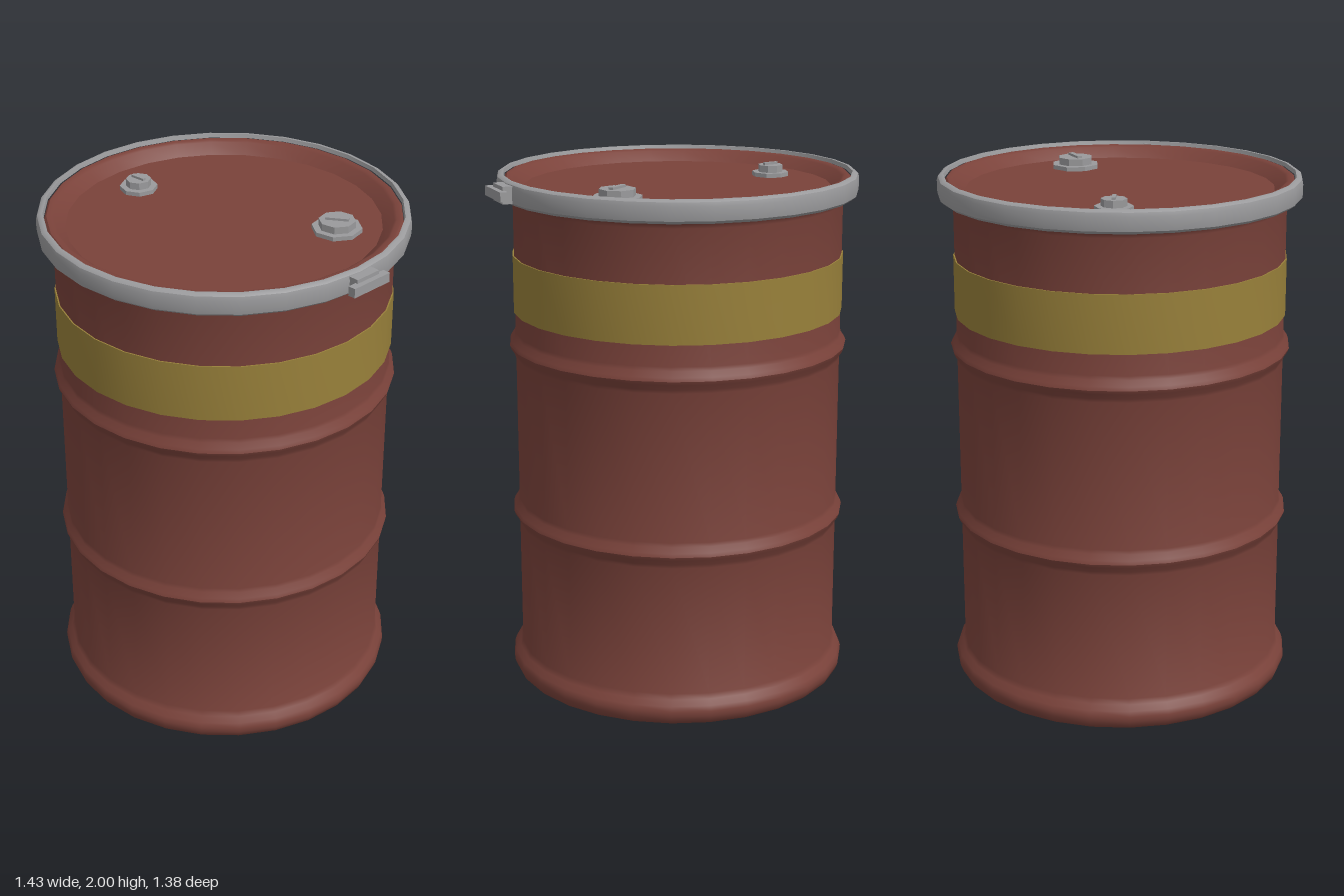
import * as THREE from 'three';
import { toCreasedNormals } from 'three/addons/utils/BufferGeometryUtils.js';

const SIDES = 28;

export function createModel() {
  const drum = new THREE.Group();
  drum.name = 'drum';
  const rust = new THREE.MeshStandardMaterial({ color: 0x7a423a });
  rust.name = 'rust red paint';
  const yellow = new THREE.MeshStandardMaterial({ color: 0x98803a });
  yellow.name = 'yellow paint';
  const steel = new THREE.MeshStandardMaterial({ color: 0x9a9a9c });
  steel.name = 'grey steel';

  function add(parent, name, geometry, material, x = 0, y = 0, z = 0) {
    const mesh = new THREE.Mesh(geometry, material);
    mesh.name = name;
    mesh.position.set(x, y, z);
    parent.add(mesh);
    return mesh;
  }
  // Turned part from [radius, height] pairs, smooth apart from sharp edges
  function turned(profile) {
    const points = profile.map(([r, y]) => new THREE.Vector2(r, y));
    return toCreasedNormals(new THREE.LatheGeometry(points, SIDES), 0.65);
  }
  // Rounded rolling hoop in the wall
  function hoop(y) {
    return [[0.632, y - 0.05], [0.636, y - 0.035], [0.65, y - 0.014], [0.655, y],
      [0.65, y + 0.014], [0.636, y + 0.035], [0.632, y + 0.05]];
  }

  // Wall with recessed bottom, bottom chime and two hoops
  add(drum, 'body', turned([
    [0, 0.05], [0.585, 0.05], [0.62, 0.004], [0.63, 0], [0.645, 0], [0.656, 0.01],
    [0.666, 0.035], [0.667, 0.055], [0.66, 0.075], [0.642, 0.095], [0.632, 0.115],
    ...hoop(0.67), ...hoop(1.34),
    [0.632, 1.89], [0.636, 1.905], [0.65, 1.92], [0.65, 1.95],
  ]), rust);

  // Lid with raised lip and sunken floor
  add(drum, 'lid', turned([
    [0.66, 1.94], [0.66, 1.98], [0.652, 1.988], [0.635, 1.988], [0.625, 1.982],
    [0.585, 1.945], [0, 1.945],
  ]), rust);

  // Painted stripe
  add(drum, 'stripe', turned([
    [0.631, 1.47], [0.637, 1.47], [0.637, 1.69], [0.631, 1.69],
  ]), yellow);

  // Clamping ring around the lid
  add(drum, 'clampRing', turned([
    [0.65, 1.93], [0.652, 1.914], [0.675, 1.914], [0.688, 1.925], [0.69, 1.94],
    [0.69, 1.977], [0.686, 1.992], [0.675, 2], [0.665, 2], [0.661, 1.985],
  ]), steel);

  // Clasp on the left side of the ring
  const clasp = new THREE.Group();
  clasp.name = 'clasp';
  drum.add(clasp);
  add(clasp, 'claspBlock', new THREE.BoxGeometry(0.06, 0.065, 0.108), steel, 0.69, 1.957, 0);
  add(clasp, 'claspLever', new THREE.BoxGeometry(0.03, 0.036, 0.176), steel, 0.725, 1.957, 0);

  // Octagonal plugs, turned to face the lid centre
  function plug(name, x, z, radius, headRadius, height) {
    const group = new THREE.Group();
    group.name = name;
    group.position.set(x, 1.945, z);
    group.rotation.y = Math.atan2(-z, x);
    drum.add(group);
    const octagon = (top, bottom, h) =>
      toCreasedNormals(new THREE.CylinderGeometry(top, bottom, h, 8), 0.4);
    add(group, name + 'Flange', octagon(radius, radius, 0.016), steel, 0, 0.008, 0);
    add(group, name + 'Head', octagon(headRadius, headRadius, height), steel, 0, height / 2, 0);
    add(group, name + 'Grip', new THREE.BoxGeometry(headRadius * 1.25, 0.01, headRadius * 0.3),
      steel, 0, height + 0.004, 0);
  }
  plug('largePlug', 0.345, -0.24, 0.094, 0.069, 0.043);
  plug('smallPlug', -0.42, 0.05, 0.072, 0.048, 0.043);

  // The clasp sticks out on one side, so the drum sits slightly off centre
  drum.position.x = -0.025;
  const model = new THREE.Group();
  model.name = 'steelDrum';
  model.add(drum);
  return model;
}
